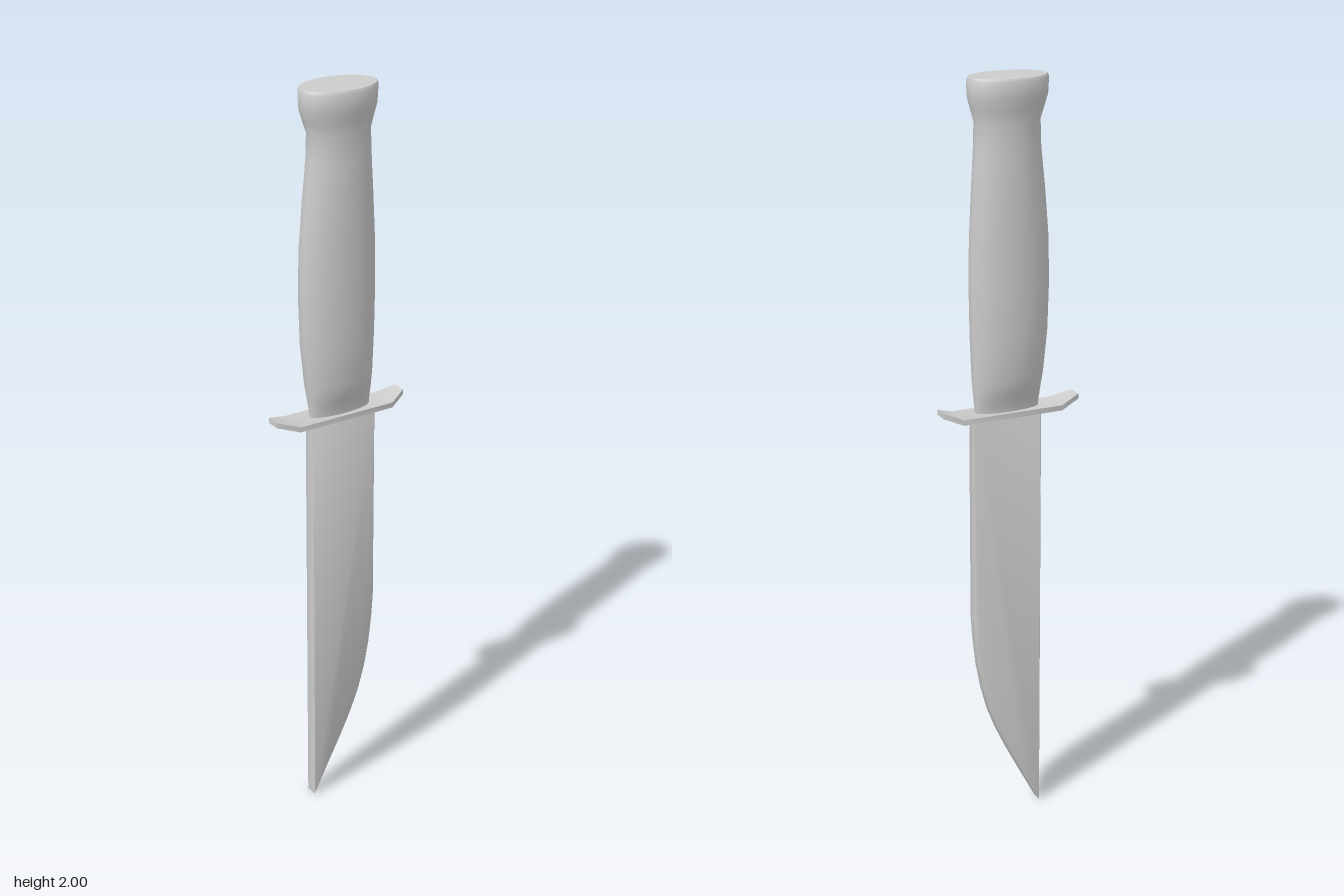
import * as THREE from 'three';
import { toCreasedNormals } from 'three/addons/utils/BufferGeometryUtils.js';

const material = new THREE.MeshStandardMaterial({ color: 0xcccccc });

function addPart(group, name, geometry) {
  const mesh = new THREE.Mesh(geometry, material);
  mesh.name = name;
  group.add(mesh);
}

// Closed solid through rings of points, capped at both ends;
// each ring runs clockwise when looking back along the loft from its far end
function loft(rings) {
  const n = rings[0].length;
  const positions = rings.flat(2);
  const index = [];
  for (let r = 0; r < rings.length - 1; r++) {
    for (let i = 0; i < n; i++) {
      const a = r * n + i, b = r * n + (i + 1) % n;
      index.push(a, a + n, b, b, a + n, b + n);
    }
  }
  const end = (rings.length - 1) * n;
  for (let i = 1; i < n - 1; i++) {
    index.push(0, i, i + 1, end, end + i + 1, end + i);
  }
  const geometry = new THREE.BufferGeometry();
  geometry.setAttribute('position', new THREE.Float32BufferAttribute(positions, 3));
  geometry.setIndex(index);
  return geometry;
}

// Grip and pommel: oval sections as [y, edge at -x, edge at +x, half depth]
function handleGeometry() {
  const sections = [
    [1.143, -0.08, 0.093, 0.026], [1.168, -0.082, 0.095, 0.028],
    [1.195, -0.085, 0.097, 0.04], [1.24, -0.092, 0.1, 0.051],
    [1.35, -0.103, 0.104, 0.056], [1.48, -0.107, 0.106, 0.058],
    [1.6, -0.104, 0.104, 0.058], [1.72, -0.094, 0.098, 0.058],
    [1.82, -0.083, 0.092, 0.057], [1.89, -0.081, 0.09, 0.054],
    [1.92, -0.091, 0.098, 0.059], [1.95, -0.1, 0.106, 0.066],
    [1.992, -0.102, 0.108, 0.069], [2.0, -0.098, 0.104, 0.065],
  ];
  const sides = 16;
  return loft(sections.map(([y, x0, x1, depth]) =>
    Array.from({ length: sides }, (_, i) => {
      const angle = ((i + 0.5) / sides) * Math.PI * 2;
      return [
        (x0 + x1) / 2 + (x1 - x0) / 2 * Math.cos(angle) / 0.98,
        y,
        depth * Math.sin(angle) / 0.98,
      ];
    })));
}

// Crossguard: flat plate with tapered, upturned tips, as [x, centre y, half depth]
function guardGeometry() {
  const stations = [
    [-0.191, 1.161, 0.019], [-0.133, 1.143, 0.04],
    [0.144, 1.143, 0.04], [0.191, 1.161, 0.019],
  ];
  const t = 0.007;
  return loft(stations.map(([x, y, d]) => [
    [x, y - t, -d], [x, y - t, d], [x, y + t, d], [x, y + t, -d],
  ]));
}

// Blade: straight spine, curved cutting edge, point at the bottom
function bladeGeometry() {
  const outline = [
    [-0.085, 0], [-0.04, 0.085], [0.003, 0.168], [0.036, 0.238], [0.06, 0.3],
    [0.079, 0.37], [0.092, 0.44], [0.101, 0.52], [0.105, 0.58],
    [0.105, 1.142], [-0.085, 1.142],
  ];
  const shape = new THREE.Shape(outline.map(([x, y]) => new THREE.Vector2(x, y)));
  const bevel = 0.003;
  const geometry = new THREE.ExtrudeGeometry(shape, {
    depth: 0.036 - 2 * bevel, bevelEnabled: true, bevelSegments: 1,
    bevelSize: bevel, bevelThickness: bevel, bevelOffset: -bevel,
  });
  geometry.translate(0, 0, -0.018 + bevel);
  return geometry;
}

export function createModel() {
  const group = new THREE.Group();
  group.name = 'knife';
  addPart(group, 'handle', toCreasedNormals(handleGeometry(), 1));
  addPart(group, 'guard', toCreasedNormals(guardGeometry(), 0.6));
  addPart(group, 'blade', toCreasedNormals(bladeGeometry(), 0.9));
  return group;
}
